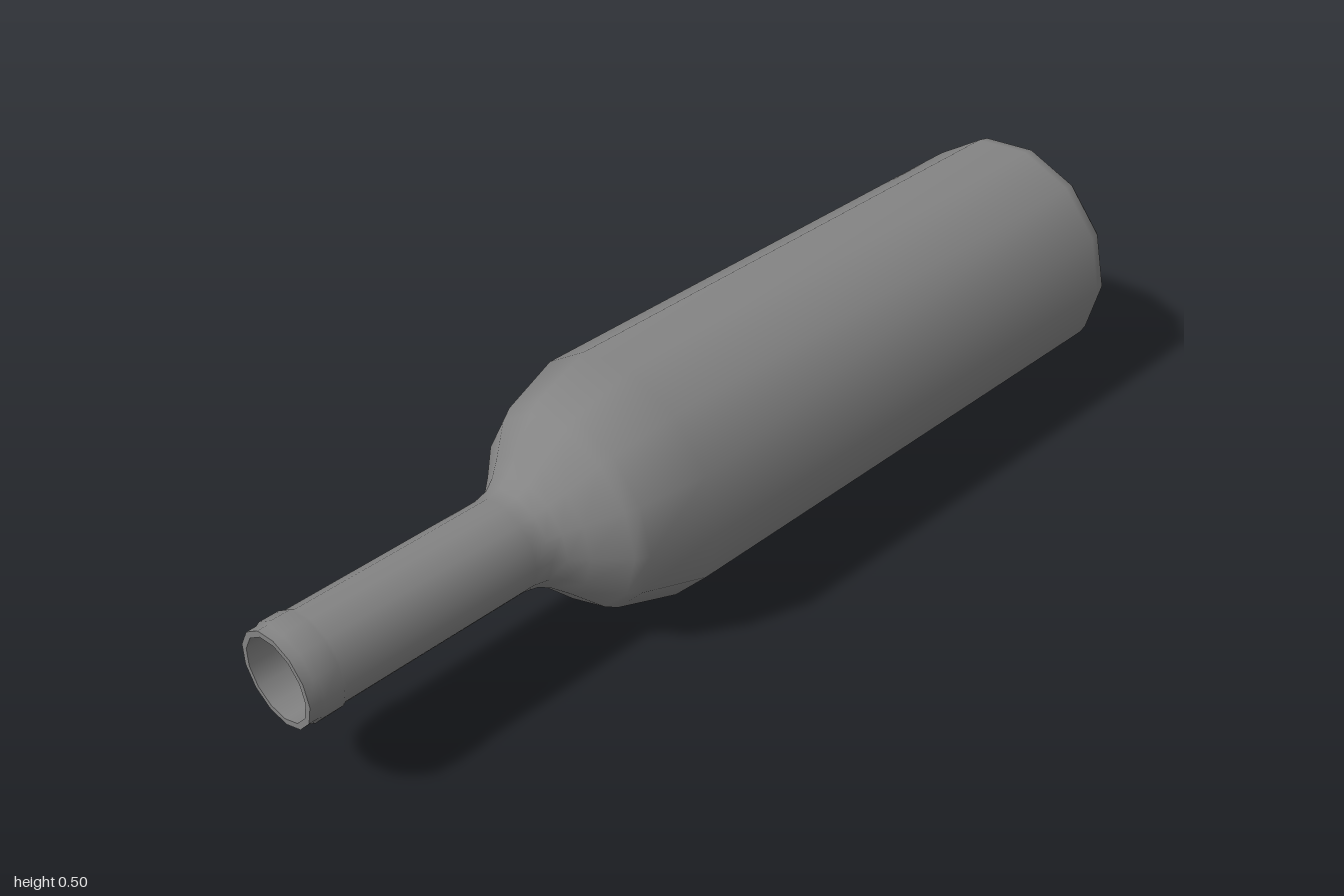
import * as THREE from 'three';

const SIDES = 13;
const CENTRE_X = -0.0035;
const CENTRE_Y = 0.2525;

export function createModel() {
  const group = new THREE.Group();
  group.name = 'bottle';
  const material = new THREE.MeshStandardMaterial({ color: 0x848484 });

  // Revolves [radius, z] points around the bottle's lengthwise axis
  const addRing = (name, profile) => {
    const points = profile.map(([r, z]) => new THREE.Vector2(r, z));
    const geometry = new THREE.LatheGeometry(points, SIDES, Math.PI / 2);
    geometry.rotateX(Math.PI / 2);
    const mesh = new THREE.Mesh(geometry, material);
    mesh.name = name;
    mesh.position.set(CENTRE_X, CENTRE_Y, 0);
    group.add(mesh);
  };

  // Dished base, rounded heel, straight body, shoulder, neck and raised collar
  addRing('body', [
    [0, -0.95], [0.225, -1],
    [0.238, -0.998], [0.249, -0.985], [0.2537, -0.96],
    [0.2537, 0.21], [0.213, 0.34], [0.198, 0.365],
    [0.142, 0.42], [0.115, 0.45], [0.1, 0.475], [0.094, 0.505],
    [0.094, 0.925], [0.098, 0.932], [0.098, 0.972], [0.094, 0.98], [0.094, 1],
  ]);

  // Flat rim around the opening
  addRing('rim', [[0.094, 1], [0.082, 1]]);

  // Hollow inside of the neck and its floor
  addRing('bore', [[0.082, 1], [0.082, 0.48]]);
  addRing('boreFloor', [[0.082, 0.48], [0, 0.48]]);

  return group;
}
